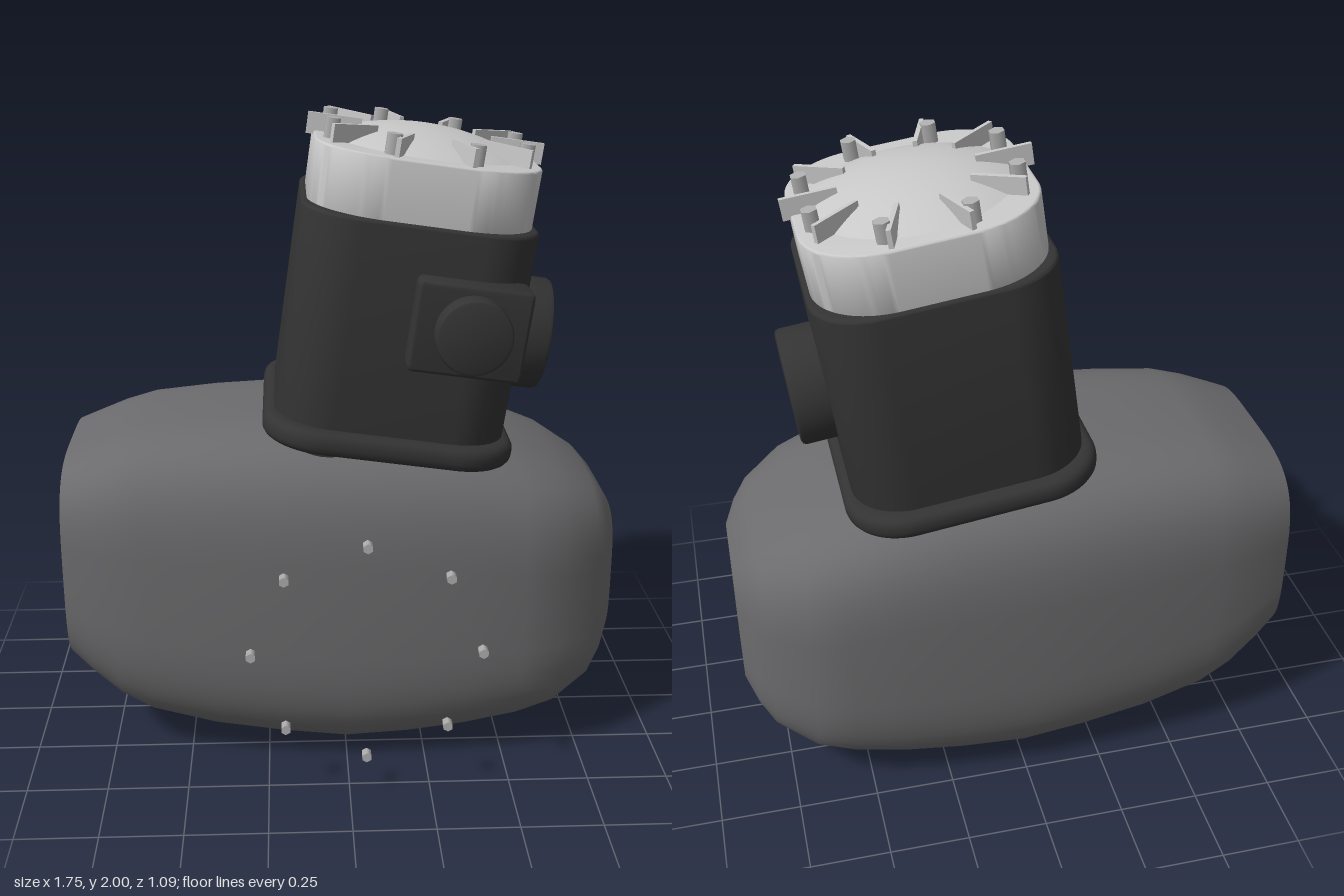
import * as THREE from 'three';
import { toCreasedNormals } from 'three/addons/utils/BufferGeometryUtils.js';

const mat = (name, color) => {
  const m = new THREE.MeshStandardMaterial({ color });
  m.name = name;
  return m;
};

export function createModel() {
  const grey = mat('housing grey', 0x6b6b6d);
  const black = mat('motor black', 0x333333);
  const silver = mat('cap silver', 0xc8c8c8);
  const steel = mat('bolt steel', 0xb0b0b0);

  const model = new THREE.Group();
  model.name = 'motorUnit';
  const add = (parent, name, geo, material, x = 0, y = 0, z = 0) => {
    const mesh = new THREE.Mesh(geo, material);
    mesh.name = name;
    mesh.position.set(x, y, z);
    parent.add(mesh);
    return mesh;
  };

  // Rounded block, extruded along +z from z = 0
  const block = (w, h, depth, r, bevel) => {
    const x = w / 2 - bevel, y = h / 2 - bevel;
    const c = Math.max(r - bevel, 0.005);
    const s = new THREE.Shape();
    s.absarc(x - c, y - c, c, 0, Math.PI / 2);
    s.absarc(-x + c, y - c, c, Math.PI / 2, Math.PI);
    s.absarc(-x + c, -y + c, c, Math.PI, Math.PI * 1.5);
    s.absarc(x - c, -y + c, c, Math.PI * 1.5, Math.PI * 2);
    s.closePath();
    const geo = new THREE.ExtrudeGeometry(s, {
      depth: depth - 2 * bevel, bevelThickness: bevel, bevelSize: bevel,
      bevelSegments: 4, curveSegments: 10,
    });
    geo.translate(0, 0, bevel);
    return toCreasedNormals(geo, 0.6);
  };
  // The same block standing on its base, extruded along +y
  const upright = (...args) => block(...args).rotateX(-Math.PI / 2);

  // Disc with a small rounded rim, standing along +y
  const disc = (r, h, b) => toCreasedNormals(new THREE.LatheGeometry([
    [0, 0], [r, 0], [r, h - b], [r - b * 0.3, h - b * 0.3], [r - b, h], [0, h],
  ].map(p => new THREE.Vector2(...p)), 40), 0.6);

  // Main housing: superellipse sections [x, bottom, top, half depth]
  const sections = [
    [-0.875, 0.30, 0.97, 0.37], [-0.81, 0.235, 0.995, 0.395],
    [-0.72, 0.155, 1.03, 0.42], [-0.62, 0.10, 1.058, 0.44],
    [-0.42, 0.05, 1.077, 0.463], [-0.2, 0.02, 1.087, 0.48],
    [0, 0, 1.085, 0.487], [0.2, 0.012, 1.07, 0.483],
    [0.38, 0.035, 1.04, 0.475], [0.55, 0.065, 0.98, 0.455],
    [0.67, 0.10, 0.934, 0.425], [0.79, 0.17, 0.86, 0.34],
    [0.835, 0.23, 0.81, 0.275], [0.87, 0.30, 0.75, 0.195],
  ];
  const N = 64, midZ = -0.057;
  const power = v => Math.sign(v) * Math.abs(v) ** (2 / 3.7);
  const ring = ([x, y0, y1, hz]) => Array.from({ length: N }, (_, j) => {
    const a = j / N * Math.PI * 2;
    return [x, (y0 + y1) / 2 + (y1 - y0) / 2 * power(Math.cos(a)), midZ + hz * power(Math.sin(a))];
  });
  const mesh3 = (points, index) => {
    const geo = new THREE.BufferGeometry();
    geo.setAttribute('position', new THREE.Float32BufferAttribute(points.flat(), 3));
    geo.setIndex(index);
    geo.computeVertexNormals();
    return geo;
  };
  const skin = [];
  for (let i = 0; i < sections.length - 1; i++) {
    for (let j = 0; j < N; j++) {
      const k = (j + 1) % N;
      const a = i * N + j, b = i * N + k, c = b + N, d = a + N;
      skin.push(a, b, c, a, c, d);
    }
  }
  add(model, 'housing', mesh3(sections.flatMap(ring), skin), grey);

  // Flat ends of the housing
  const endCap = (section, right) => {
    const fan = [];
    for (let j = 0; j < N; j++) {
      const k = (j + 1) % N;
      fan.push(N, right ? j : k, right ? k : j);
    }
    const centre = [section[0], (section[1] + section[2]) / 2, midZ];
    return mesh3([...ring(section), centre], fan);
  };
  add(model, 'housingEndLeft', endCap(sections.at(-1), true), grey);
  add(model, 'housingEndRight', endCap(sections[0], false), grey);

  // Circle of eight bolts in front of the housing
  const studGeo = new THREE.CylinderGeometry(0.016, 0.016, 0.032, 6).rotateX(Math.PI / 2);
  for (let i = 0; i < 8; i++) {
    const a = i * Math.PI / 4;
    add(model, 'housingBolt', studGeo, steel,
      0.052 + 0.35 * Math.cos(a), 0.47 + 0.35 * Math.sin(a), 0.53);
  }

  // Tilted motor tower
  const tower = new THREE.Group();
  tower.name = 'tower';
  tower.position.set(0.135, 1.066, -0.055);
  tower.rotation.z = -THREE.MathUtils.degToRad(8);
  model.add(tower);

  add(tower, 'flange', upright(0.78, 0.83, 0.075, 0.19, 0.03), black, 0, -0.06);
  add(tower, 'towerShaft', upright(0.717, 0.74, 0.78, 0.18, 0.012), black, 0, -0.12);
  add(tower, 'towerHead', upright(0.685, 0.72, 0.2, 0.22, 0.008), silver, 0, 0.64);

  // Shallow dome on the head
  const domeR = 0.31, domeH = 0.065;
  const sphereR = (domeR ** 2 + domeH ** 2) / (2 * domeH);
  add(tower, 'dome', new THREE.SphereGeometry(sphereR, 48, 10, 0, Math.PI * 2, 0,
    Math.asin(domeR / sphereR)), silver, 0, 0.838 + domeH - sphereR);

  // Radial cooling fins and hex bolts
  const finGeo = new THREE.BoxGeometry(0.165, 0.065, 0.014).translate(0.2825, 0.861, 0);
  for (let i = 0; i < 10; i++) {
    add(tower, 'fin', finGeo, silver).rotation.y = i * Math.PI / 5;
  }
  const boltGeo = new THREE.CylinderGeometry(0.025, 0.025, 0.07, 6);
  for (let i = 0; i < 8; i++) {
    const a = (i + 0.5) * Math.PI / 4;
    add(tower, 'headBolt', boltGeo, steel, 0.317 * Math.cos(a), 0.865, 0.317 * Math.sin(a));
  }

  // Connector box and round knob on the front
  add(tower, 'connectorBox', block(0.34, 0.275, 0.13, 0.02, 0.012), black, 0.167, 0.384, 0.312);
  add(tower, 'connectorKnob', disc(0.112, 0.09, 0.012), black, 0.172, 0.384, 0.42).rotation.x = Math.PI / 2;

  // Round cover on the side
  add(tower, 'sideCover', disc(0.178, 0.138, 0.015), black, 0.33, 0.298, 0).rotation.z = -Math.PI / 2;

  return model;
}
